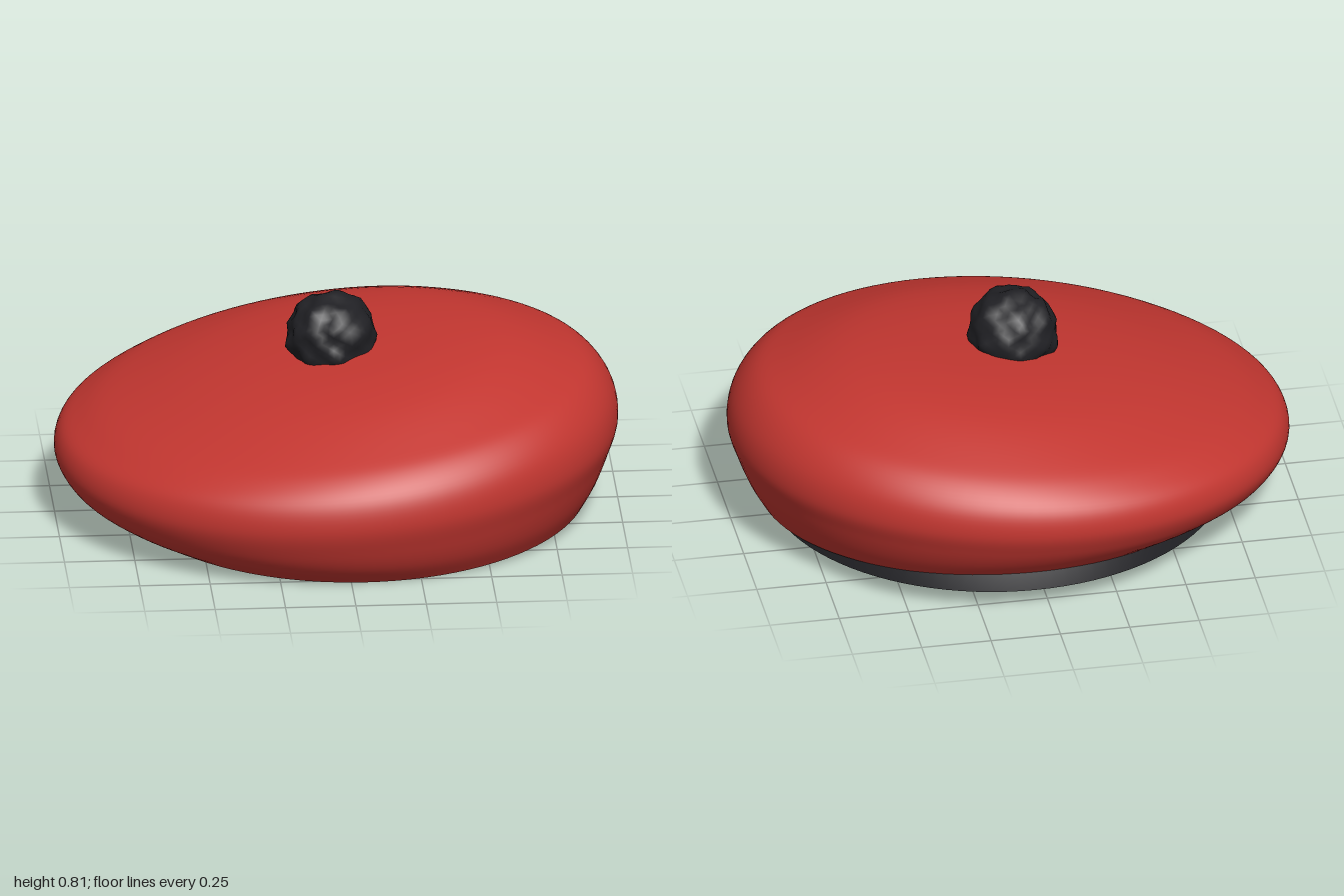
import * as THREE from 'three';
import { mergeVertices } from 'three/addons/utils/BufferGeometryUtils.js';

const RED = 0xc23630, DARK = 0x202024;

function part(name, geometry, color) {
  const material = new THREE.MeshStandardMaterial({ color, side: THREE.DoubleSide });
  const mesh = new THREE.Mesh(geometry, material);
  mesh.name = name;
  return mesh;
}

// Soft crown: elliptical rings from rim to apex, each leaning by its own tilt.
// Columns: x radius, z/x ratio, x centre, height, tilt along x, tilt along z
const RINGS = [
  [0.835, 0.925, 0.055, 0.063, 0.003, -0.08],
  [0.915, 0.91, 0.02, 0.13, 0.02, -0.075],
  [0.967, 0.9, 0.005, 0.2, 0.045, -0.065],
  [1, 0.895, 0, 0.285, 0.055, -0.055],
  [0.98, 0.895, 0, 0.375, 0.07, -0.05],
  [0.91, 0.895, 0, 0.445, 0.095, -0.05],
  [0.8, 0.895, 0, 0.497, 0.105, -0.055],
  [0.6, 0.895, 0, 0.563, 0.13, -0.06],
  [0.4, 0.895, 0, 0.598, 0.135, -0.06],
  [0.2, 0.895, 0, 0.612, 0.13, -0.06],
  [0, 0.895, 0, 0.615, 0.13, -0.06],
];

function crownGeometry(levels = 60, sides = 96) {
  const curve = (offset) => new THREE.CatmullRomCurve3(
    RINGS.map((r) => new THREE.Vector3(...r.slice(offset, offset + 3))), false, 'catmullrom');
  const sizes = curve(0), leans = curve(3);
  const positions = [], index = [];
  for (let i = 0; i < levels; i++) {
    const s = sizes.getPoint(i / levels), l = leans.getPoint(i / levels);
    for (let j = 0; j < sides; j++) {
      const a = (j / sides) * Math.PI * 2;
      const x = s.x * Math.cos(a), z = s.x * s.y * Math.sin(a);
      positions.push(x + s.z, l.x + l.y * x + l.z * z, z);
    }
  }
  const apex = levels * sides;
  positions.push(0, RINGS.at(-1)[3], 0);
  for (let i = 0; i < levels; i++) {
    for (let j = 0; j < sides; j++) {
      const k = (j + 1) % sides;
      const a = i * sides + j, b = i * sides + k;
      if (i === levels - 1) index.push(a, apex, b);
      else index.push(a, a + sides, b, b, a + sides, b + sides);
    }
  }
  const geometry = new THREE.BufferGeometry();
  geometry.setAttribute('position', new THREE.Float32BufferAttribute(positions, 3));
  geometry.setIndex(index);
  geometry.computeVertexNormals();
  return geometry;
}

// Head band: a thin level ring, narrowing upward inside the crown
function bandGeometry() {
  const profile = [[0.755, 0.125], [0.74, 0.125], [0.8, 0], [0.82, 0], [0.755, 0.125]];
  const geometry = new THREE.LatheGeometry(
    profile.map(([x, y]) => new THREE.Vector2(x, y)).reverse(), 96);
  geometry.scale(1, 1, 0.96);
  geometry.translate(0.05, 0.075, -0.02);
  return geometry;
}

// Woolly pompom: a sphere with irregular lumps
function pompomGeometry() {
  let geometry = new THREE.IcosahedronGeometry(0.158, 7);
  geometry.deleteAttribute('normal');
  geometry.deleteAttribute('uv');
  geometry = mergeVertices(geometry, 1e-4);
  const p = geometry.attributes.position, v = new THREE.Vector3();
  for (let i = 0; i < p.count; i++) {
    v.fromBufferAttribute(p, i);
    const n = v.clone().normalize();
    const lump = Math.sin(9 * n.x + 2 * n.y + 1) * Math.sin(10 * n.y - 3 * n.z)
      + Math.sin(9 * n.z + 3 * n.x + 2) * Math.sin(8 * n.y + 4 * n.x + 0.5);
    v.multiplyScalar(1 + 0.05 * lump);
    p.setXYZ(i, v.x, v.y, v.z);
  }
  geometry.computeVertexNormals();
  return geometry;
}

export function createModel() {
  const hat = new THREE.Group();
  hat.name = 'beret';
  const pompom = part('pompom', pompomGeometry(), DARK);
  pompom.position.set(-0.02, 0.65, 0.02);
  hat.add(
    part('crown', crownGeometry(), RED),
    part('headBand', bandGeometry(), DARK),
    pompom,
  );
  return hat;
}
